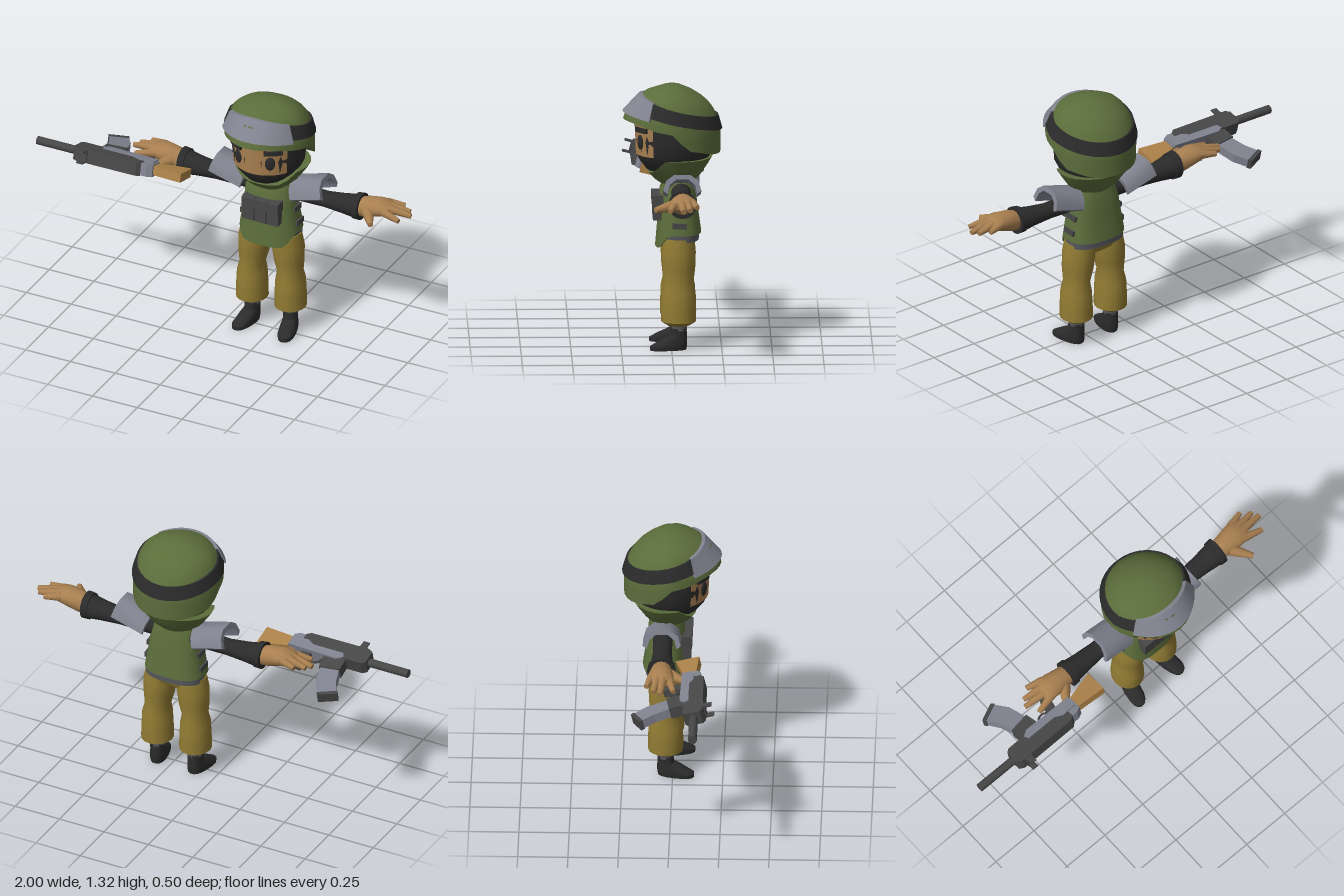
import * as THREE from 'three';
import { toCreasedNormals } from 'three/addons/utils/BufferGeometryUtils.js';

const mat = (name, color) => Object.assign(new THREE.MeshStandardMaterial({ color }), { name });
const M = {
  green: mat('olive green', 0x5b6d3b), pants: mat('khaki', 0x917b33), skin: mat('skin', 0xa87f50),
  steel: mat('armour grey', 0x80828f), black: mat('black', 0x2b2b2b), dark: mat('dark grey', 0x474747),
  belt: mat('belt grey', 0x57585c), wood: mat('wood', 0xab8149),
};

function add(parent, name, geometry, material, x = 0, y = 0, z = 0) {
  const m = new THREE.Mesh(geometry, material);
  m.name = name;
  m.position.set(x, y, z);
  parent.add(m);
  return m;
}

// Skin over a stack of closed rings, with fan caps at both ends
function loft(rings) {
  const n = rings[0].length, pos = rings.flat(2), idx = [];
  for (let k = 0; k < rings.length - 1; k++) {
    for (let i = 0; i < n; i++) {
      const a = k * n + i, b = k * n + (i + 1) % n;
      idx.push(a, b, a + n, b, b + n, a + n);
    }
  }
  [0, rings.length - 1].forEach((k, end) => {
    const c = pos.length / 3;
    for (let d = 0; d < 3; d++) pos.push(rings[k].reduce((s, p) => s + p[d], 0) / n);
    for (let i = 0; i < n; i++) {
      const a = k * n + i, b = k * n + (i + 1) % n;
      end ? idx.push(c, a, b) : idx.push(c, b, a);
    }
  });
  const g = new THREE.BufferGeometry();
  g.setAttribute('position', new THREE.Float32BufferAttribute(pos, 3));
  g.setIndex(idx);
  return toCreasedNormals(g, 0.7);
}

const around = (n, f) => Array.from({ length: n }, (_, i) => f((i / n) * Math.PI * 2));
const spow = (v, p) => Math.sign(v) * Math.abs(v) ** p;
const smooth = (v, a, b) => THREE.MathUtils.smoothstep(v, a, b);

// Point on an oval of half width rx between zf (front) and zb (back)
function oval(a, y, [rx, zf, zb], ps = 1, pc = 1) {
  const c = (zf + zb) / 2;
  return [rx * spow(Math.sin(a), ps), y, c + ((zf - zb) / 2) * spow(Math.cos(a), pc)];
}
const stack = (rows, n = 16, p = 1) => loft(rows.map(([y, ...r]) => around(n, a => oval(a, y, r, p, p))));

// Interpolated row of a [y, rx, zf, zb] table
function sample(table, y) {
  let i = 0;
  while (i < table.length - 2 && y > table[i + 1][0]) i++;
  const t = THREE.MathUtils.clamp((y - table[i][0]) / (table[i + 1][0] - table[i][0]), 0, 1);
  return [1, 2, 3].map(k => THREE.MathUtils.lerp(table[i][k], table[i + 1][k], t));
}

const SKULL = [[0.875, 0.08, 0.085, -0.12], [0.9, 0.12, 0.125, -0.15], [0.945, 0.16, 0.16, -0.185],
  [0.985, 0.178, 0.175, -0.198], [1.05, 0.185, 0.178, -0.2], [1.16, 0.185, 0.178, -0.195], [1.2, 0.15, 0.14, -0.16]];
const HELM = [[0.98, 0.228, 0.24, -0.245], [1.1, 0.23, 0.242, -0.246], [1.15, 0.226, 0.24, -0.236],
  [1.2, 0.213, 0.222, -0.212], [1.25, 0.187, 0.188, -0.172], [1.29, 0.145, 0.125, -0.11], [1.318, 0.06, 0.045, -0.05]];
const skullAt = (a, y) => oval(a, y, sample(SKULL, y));
const helmAt = (a, y) => oval(a, y, sample(HELM, y), 1, Math.cos(a) > 0 ? 1.35 : 1);

// Raised strip following a surface from angle a0 to a1 (degrees)
function band(at, a0, a1, mid, half, slope, off, steps = 14) {
  const rings = [];
  for (let i = 0; i <= steps; i++) {
    const a = THREE.MathUtils.degToRad(a0 + ((a1 - a0) * i) / steps);
    const y = mid + slope * at(a, mid)[2];
    const p = (h, o) => { const q = at(a, y + h); return [q[0] + o * Math.sin(a), q[1], q[2] + o * Math.cos(a)]; };
    rings.push([p(half, -0.01), p(half, off), p(-half, off), p(-half, -0.01)]);
  }
  return loft(rings);
}

function buildHead(g) {
  add(g, 'hood', stack(SKULL, 24), M.black);
  add(g, 'face', band(skullAt, -57, 57, 1.065, 0.09, 0, 0.004), M.skin);
  for (const s of [-1, 1]) {
    const a = s * 0.5, p = skullAt(a, 1.045);
    const eye = add(g, 'eye', new THREE.SphereGeometry(1, 14, 8), M.black, p[0], p[1], p[2]);
    eye.scale.set(0.026, 0.038, 0.009);
    eye.rotation.y = a;
    add(g, 'eyebrow', band(skullAt, s * 33 - 14, s * 33 + 14, 1.108, 0.012, 0, 0.015, 4), M.black);
  }
  // Collar bowl, dipping under the chin
  add(g, 'collar', loft([0, 0.35, 0.75, 1].map(t => around(24, a => {
    const rim = 0.963 - 0.075 * smooth(Math.cos(a), 0.4, 0.95);
    const w = t ** 0.75;
    return oval(a, 0.825 + (rim - 0.825) * t, [0.09 + 0.112 * w, 0.05 + 0.068 * w, -0.1 - 0.106 * w]);
  }))), M.green);
  // Helmet with a rim that dips behind the ears
  const rim = a => {
    const z = helmAt(a, 1.1)[2];
    return 0.985 + 0.032 * smooth(z, -0.24, -0.09) + 0.092 * smooth(z, -0.1, 0.015) + 0.043 * smooth(z, 0.02, 0.24);
  };
  const rows = Array.from({ length: 13 }, (_, i) => i / 12);
  add(g, 'helmet', loft(rows.map(t => around(32, a => helmAt(a, rim(a) + (1.318 - rim(a)) * t)))), M.green);
  add(g, 'helmetStrap', band(helmAt, 50, 310, 1.19, 0.034, 0.25, 0.009, 28), M.black);
  add(g, 'goggles', band(helmAt, -57, 57, 1.19, 0.044, 0.2, 0.017), M.steel);
}

function buildTorso(g) {
  const rows = [[0, 0.16, 0.08, -0.15], [0.65, 0.15, 0.068, -0.14], [0.72, 0.138, 0.062, -0.13],
    [0.8, 0.13, 0.058, -0.122], [0.86, 0.1, 0.03, -0.105]];
  add(g, 'vest', loft(rows.map(([y, ...r]) => around(28, a =>
    oval(a, y || 0.58 - 0.068 * smooth(Math.cos(a), 0.3, 0.88), r, 0.78, 0.78)))), M.green);
  add(g, 'belt', stack([[0.545, 0.155, 0.05, -0.138], [0.595, 0.156, 0.055, -0.14]], 24, 0.8), M.belt);
  add(g, 'hips', stack([[0.495, 0.1, 0.02, -0.09], [0.515, 0.15, 0.042, -0.115], [0.56, 0.152, 0.045, -0.125]], 20, 0.85), M.pants);
  for (const x of [-0.068, 0, 0.068]) {
    add(g, 'pouch', new THREE.BoxGeometry(0.063, 0.122, 0.05), M.dark, x, 0.711, 0.067);
    add(g, 'pouchFlap', new THREE.BoxGeometry(0.067, 0.052, 0.058), M.dark, x, 0.749, 0.068);
  }
  for (const s of [-1, 1]) for (const [x, y] of [[0.135, 0.706], [0.148, 0.63]]) {
    add(g, 'sideStrap', new THREE.BoxGeometry(0.024, 0.028, 0.072), M.dark, s * x, y, -0.04).rotation.x = -0.06;
  }
}

function finger(g, name, from, to, r0, r1) {
  const a = new THREE.Vector3(...from), b = new THREE.Vector3(...to), d = b.clone().sub(a);
  const m = add(g, name, new THREE.CylinderGeometry(r1, r0, d.length(), 8), M.skin, ...a.clone().add(b).multiplyScalar(0.5));
  m.quaternion.setFromUnitVectors(new THREE.Vector3(0, 1, 0), d.normalize());
}

function buildLimbs() {
  const g = new THREE.Group();
  // Leg, given as [y, offset, half width, half depth]
  add(g, 'trouserLeg', loft([[0.123, 0.107, 0.05, 0.055], [0.143, 0.107, 0.081, 0.087], [0.2, 0.107, 0.08, 0.088],
    [0.29, 0.107, 0.075, 0.085], [0.34, 0.105, 0.064, 0.074], [0.41, 0.098, 0.077, 0.083], [0.49, 0.092, 0.083, 0.086],
    [0.56, 0.084, 0.076, 0.08]].map(([y, x, rx, rz]) =>
    around(16, a => [x + rx * Math.sin(a), y, -0.035 + rz * Math.cos(a)]))), M.pants);
  add(g, 'ankle', new THREE.CylinderGeometry(0.038, 0.038, 0.05, 12), M.belt, 0.106, 0.122, -0.038);
  const boot = add(g, 'boot', stack([[0, 0.04, 0.148, -0.036], [0.02, 0.044, 0.148, -0.04], [0.05, 0.04, 0.092, -0.041],
    [0.072, 0.035, 0.045, -0.038], [0.108, 0.036, 0.04, -0.037]], 16, 0.8), M.black, 0.106, 0, -0.038);
  boot.rotation.y = 0.2;
  // Arm along x, given as [x, y, half height, half depth]
  const tube = rows => loft(rows.map(([x, y, ry, rz, z = -0.047]) =>
    around(16, a => [x, y + ry * Math.cos(a), z + rz * Math.sin(a)])));
  add(g, 'sleeve', tube([[0.07, 0.795, 0.045, 0.05], [0.2, 0.795, 0.042, 0.048], [0.3, 0.794, 0.04, 0.047],
    [0.4, 0.797, 0.05, 0.055], [0.475, 0.8, 0.062, 0.064]]), M.black);
  add(g, 'cuff', tube([[0.468, 0.802, 0.068, 0.069], [0.502, 0.804, 0.071, 0.071]]), M.black);
  add(g, 'palm', tube([[0.495, 0.805, 0.052, 0.05], [0.54, 0.815, 0.055, 0.055], [0.6, 0.829, 0.046, 0.064],
    [0.645, 0.832, 0.036, 0.062], [0.67, 0.83, 0.022, 0.052]]), M.skin);
  finger(g, 'finger', [0.62, 0.838, -0.09], [0.705, 0.828, -0.117], 0.024, 0.013);
  finger(g, 'finger', [0.63, 0.842, -0.063], [0.752, 0.822, -0.082], 0.026, 0.013);
  finger(g, 'finger', [0.63, 0.842, -0.035], [0.772, 0.82, -0.048], 0.026, 0.014);
  finger(g, 'finger', [0.62, 0.835, -0.008], [0.735, 0.815, 0.018], 0.024, 0.013);
  finger(g, 'thumb', [0.55, 0.81, -0.005], [0.615, 0.8, 0.09], 0.032, 0.014);
  // Arched shoulder plate
  const arch = [[-0.095, -0.08], [-0.08, -0.03], [-0.04, 0], [0.04, 0], [0.08, -0.03], [0.095, -0.08]];
  const pad = add(g, 'shoulderPad', loft(arch.map(([z, y]) => {
    const zi = z * 0.78, yi = y * 0.9 - 0.024;
    return [[0.09, yi, zi], [0.09, y, z], [-0.09, y, z], [-0.09, yi, zi]];
  })), M.steel, 0.205, 0.893, -0.05);
  pad.rotation.z = 0.28;
  return g;
}

function buildRifle() {
  const g = new THREE.Group();
  g.name = 'rifle';
  const plate = (name, pts, depth, material) => {
    const geo = new THREE.ExtrudeGeometry(new THREE.Shape(pts.map(p => new THREE.Vector2(...p))), { depth, bevelEnabled: false });
    return add(g, name, geo, material, 0, 0, -depth / 2);
  };
  add(g, 'barrel', new THREE.CylinderGeometry(0.022, 0.022, 0.25, 10), M.dark, -0.875, 0, 0).rotation.z = Math.PI / 2;
  plate('handguard', [[-0.78, -0.035], [-0.76, -0.05], [-0.41, -0.05], [-0.41, 0.035], [-0.43, 0.052], [-0.755, 0.055], [-0.78, 0.04]], 0.07, M.dark);
  plate('receiver', [[-0.66, -0.045], [-0.63, -0.066], [-0.36, -0.06], [-0.36, -0.002], [-0.44, 0.002], [-0.48, -0.02], [-0.65, -0.02]], 0.08, M.steel);
  plate('rearBlock', [[-0.43, -0.055], [-0.352, -0.055], [-0.352, 0.02], [-0.38, 0.035], [-0.43, 0.035]], 0.064, M.steel);
  plate('stock', [[-0.36, -0.055], [-0.195, -0.1], [-0.195, 0.02], [-0.36, 0.008]], 0.046, M.wood);
  plate('magazineWell', [[-0.675, -0.045], [-0.555, -0.045], [-0.57, -0.138], [-0.678, -0.122]], 0.06, M.dark);
  plate('magazine', [[-0.672, -0.12], [-0.575, -0.13], [-0.6, -0.235], [-0.65, -0.312], [-0.738, -0.27], [-0.697, -0.2]], 0.045, M.steel);
  plate('magazineBase', [[-0.652, -0.318], [-0.744, -0.274], [-0.735, -0.256], [-0.64, -0.302]], 0.052, M.dark);
  plate('grip', [[-0.49, -0.05], [-0.44, -0.05], [-0.415, -0.15], [-0.465, -0.16]], 0.04, M.dark);
  add(g, 'triggerGuard', new THREE.TorusGeometry(0.034, 0.006, 6, 12, Math.PI), M.dark, -0.51, -0.065, 0).rotation.z = Math.PI;
  add(g, 'sightBase', new THREE.BoxGeometry(0.04, 0.012, 0.064), M.dark, -0.718, 0.057, 0);
  for (const s of [-1, 1]) add(g, 'sightProng', new THREE.BoxGeometry(0.034, 0.046, 0.008), M.dark, -0.718, 0.074, s * 0.028);
  // Rolled on its side, sights towards the front
  g.rotation.x = 1.33;
  g.position.set(0, 0.815, 0.125);
  return g;
}

export function createModel() {
  const model = new THREE.Group();
  model.name = 'soldier';
  const body = new THREE.Group();
  body.name = 'body';
  body.position.x = 0.222;
  buildHead(body);
  buildTorso(body);
  const left = buildLimbs(), right = buildLimbs();
  left.name = 'leftLimbs';
  right.name = 'rightLimbs';
  right.scale.x = -1;
  body.add(left, right);
  model.add(body, buildRifle());
  return model;
}
